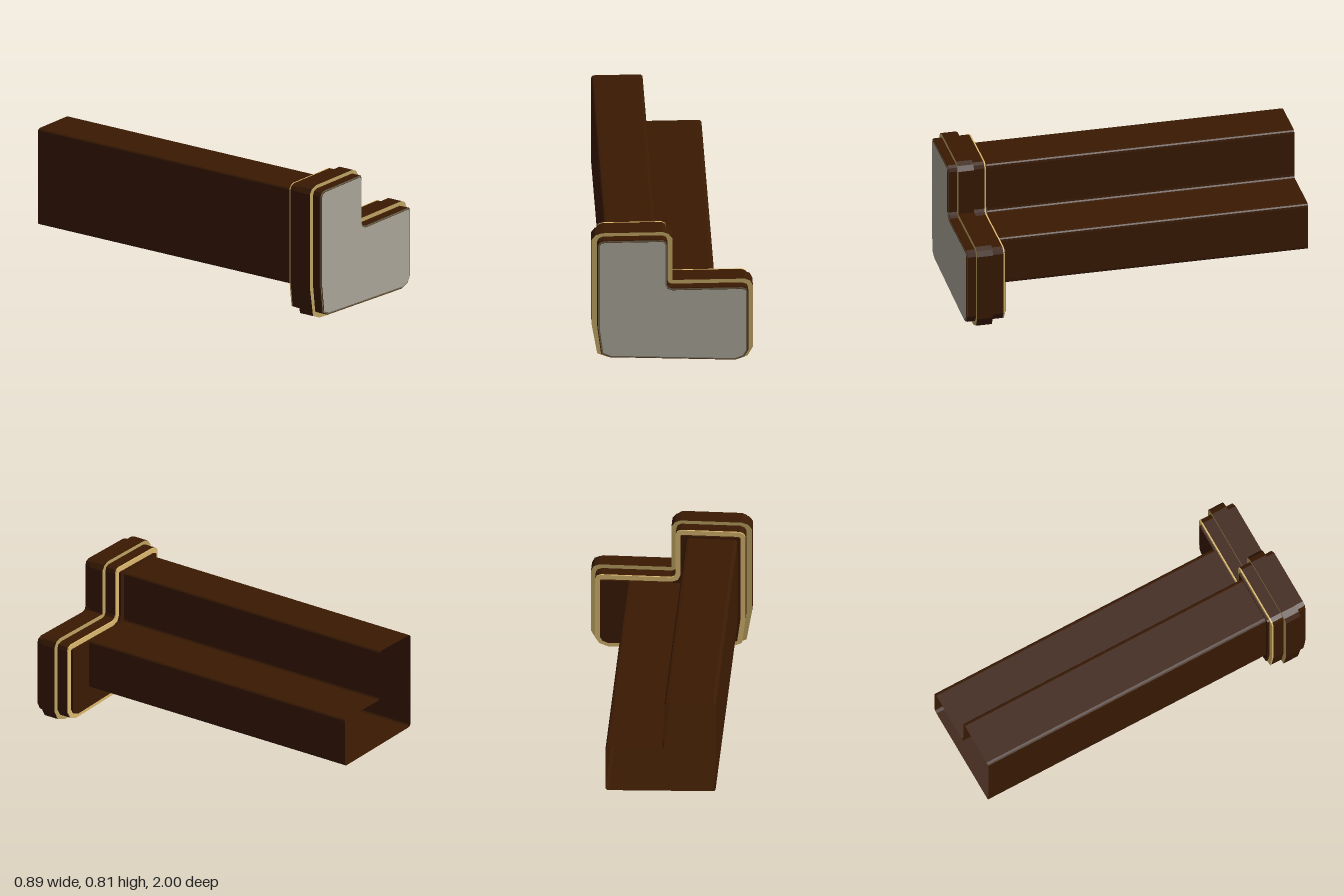
import * as THREE from 'three';

const mat = (name, color) => {
  const m = new THREE.MeshStandardMaterial({ color, side: THREE.DoubleSide });
  m.name = name;
  return m;
};

// Outlines run clockwise seen from the front
const BAND = [
  [-0.445, 0.77], [-0.425, 0.797], [-0.388, 0.81], [-0.05, 0.81], [-0.02, 0.797], [0, 0.77],
  [0, 0.508], [0.4, 0.508], [0.43, 0.495], [0.445, 0.465], [0.445, 0.08], [0.415, 0.025],
  [0.35, 0], [-0.355, 0.032], [-0.415, 0.057], [-0.445, 0.235],
];
const BODY = [
  [-0.415, 0.76], [-0.405, 0.78], [-0.38, 0.79], [-0.055, 0.79], [-0.035, 0.78], [-0.028, 0.76],
  [-0.028, 0.51], [-0.02, 0.493], [0, 0.485], [0.385, 0.485], [0.41, 0.475], [0.418, 0.455],
  [0.418, 0.085], [0.395, 0.045], [0.345, 0.025], [-0.345, 0.055], [-0.395, 0.078], [-0.415, 0.235],
];
const TUBE = [[-0.398, 0.75], [-0.113, 0.75], [-0.113, 0.457], [0.212, 0.457], [0.212, 0.174], [-0.398, 0.192]];

// Moves every edge of an outline inward by d
function inset(points, d) {
  const n = points.length;
  const normal = (a, b) => new THREE.Vector2(b[1] - a[1], a[0] - b[0]).normalize();
  return points.map((p, i) => {
    const n1 = normal(points[(i + n - 1) % n], p);
    const n2 = normal(p, points[(i + 1) % n]);
    const k = d / (1 + n1.dot(n2));
    return [p[0] + (n1.x + n2.x) * k, p[1] + (n1.y + n2.y) * k];
  });
}

const toShape = (points) => new THREE.Shape(points.map(([x, y]) => new THREE.Vector2(x, y)));

// Outline with each corner rounded by r
function roundedShape(points, r) {
  const v = points.map(([x, y]) => new THREE.Vector2(x, y));
  const s = new THREE.Shape();
  v.forEach((p, i) => {
    const a = v[(i + v.length - 1) % v.length].clone().sub(p).setLength(r).add(p);
    const b = v[(i + 1) % v.length].clone().sub(p).setLength(r).add(p);
    if (i === 0) s.moveTo(a.x, a.y);
    else s.lineTo(a.x, a.y);
    s.quadraticCurveTo(p.x, p.y, b.x, b.y);
  });
  s.closePath();
  return s;
}

// Extrusion from z0 to z1
function slab(shape, z0, z1) {
  const g = new THREE.ExtrudeGeometry(shape, { depth: z1 - z0, curveSegments: 3, bevelEnabled: false });
  return g.translate(0, 0, z0);
}

export function createModel() {
  const brown = mat('darkBrown', 0x3a1a02);
  const gold = mat('gold', 0xbfa463);
  const brightGold = mat('brightGold', 0xdcba70);
  const dullGold = mat('dullGold', 0x6e6450);
  const grey = mat('warmGrey', 0xaaa699);

  const model = new THREE.Group();
  model.name = 'steppedTubeWithCap';
  const add = (parent, name, geometry, material) => {
    const mesh = new THREE.Mesh(geometry, material);
    mesh.name = name;
    parent.add(mesh);
  };

  // Cap: body, gold rear trim, raised band with gold faces, front panel, back plate
  const cap = new THREE.Group();
  cap.name = 'cap';
  cap.position.x = -0.027;
  add(cap, 'capBody', slab(toShape(BODY), 0.777, 0.978), brown);
  add(cap, 'rearTrim', slab(toShape(BODY), 0.769, 0.777), brightGold);
  add(cap, 'frontTrim', slab(toShape(inset(BODY, 0.004)), 0.978, 0.981), [dullGold, brown]);
  add(cap, 'frontPanel', slab(toShape(inset(BODY, 0.013)), 0.981, 0.985), [grey, brown]);
  add(cap, 'raisedBand', slab(toShape(BAND), 0.842, 0.932), [gold, brown]);
  add(cap, 'backPlate', slab(toShape(inset(BODY, 0.028)), 0.757, 0.769), brown);

  // Hollow tube: walls only, open at the back
  const solid = slab(roundedShape(TUBE, 0.02), -0.995, 0.757);
  const walls = solid.groups[1];
  const tube = new THREE.BufferGeometry();
  for (const key of ['position', 'normal']) {
    const data = solid.attributes[key].array.slice(walls.start * 3, (walls.start + walls.count) * 3);
    tube.setAttribute(key, new THREE.BufferAttribute(data, 3));
  }

  // Everything is turned slightly about the vertical
  const turned = new THREE.Group();
  turned.name = 'turnedAssembly';
  turned.rotation.y = 0.03;
  turned.add(cap);
  add(turned, 'steppedTube', tube, brown);
  model.add(turned);
  return model;
}
